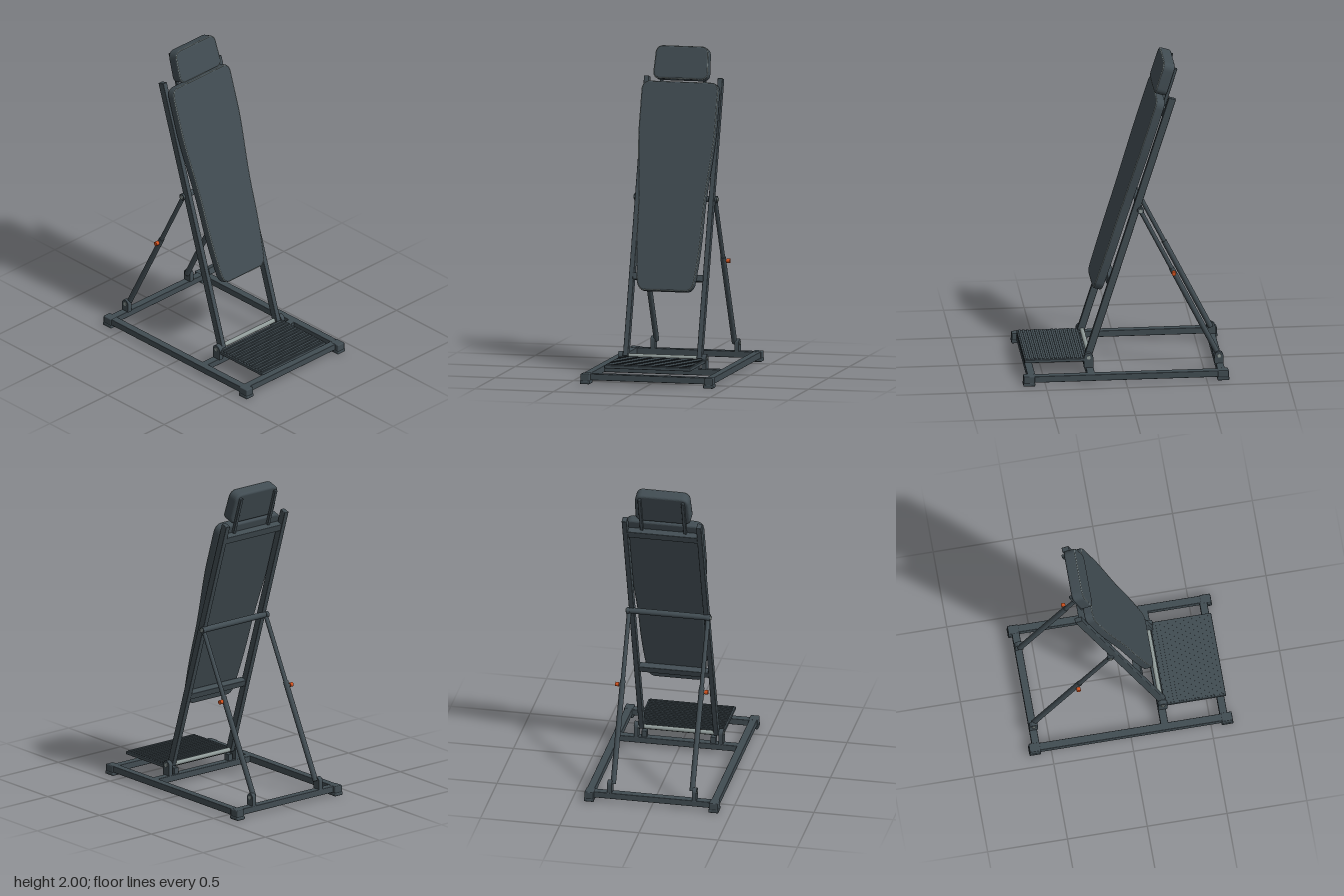
import * as THREE from 'three';
import { toCreasedNormals } from 'three/addons/utils/BufferGeometryUtils.js';
import { RoundedBoxGeometry } from 'three/addons/geometries/RoundedBoxGeometry.js';

function material(name, color) {
  const m = new THREE.MeshStandardMaterial({ color });
  m.name = name;
  return m;
}
const slate = material('slate grey', 0x414c52);
const metal = material('light metal grey', 0x8f9a98);
const orange = material('orange', 0xd2521f);

function add(parent, name, geometry, x = 0, y = 0, z = 0, mat = slate) {
  const mesh = new THREE.Mesh(geometry, mat);
  mesh.name = name;
  mesh.position.set(x, y, z);
  parent.add(mesh);
  return mesh;
}

const box = (w, h, d, r = 0.004) => new RoundedBoxGeometry(w, h, d, 2, r);

// Round bar lying along x
const rod = (radius, length) => new THREE.CylinderGeometry(radius, radius, length, 20).rotateZ(Math.PI / 2);

// Round tube between two points
function tube(parent, name, a, b, radius) {
  const mesh = add(parent, name, new THREE.CylinderGeometry(radius, radius, a.distanceTo(b), 20));
  mesh.position.copy(a).lerp(b, 0.5);
  mesh.quaternion.setFromUnitVectors(new THREE.Vector3(0, 1, 0), b.clone().sub(a).normalize());
}

// Upright plate with a rounded top, thin along x
function bracketGeometry(width, height, thickness) {
  const r = width / 2;
  const s = new THREE.Shape();
  s.moveTo(-r, 0);
  s.lineTo(r, 0);
  s.lineTo(r, height - r);
  s.absarc(0, height - r, r, 0, Math.PI, false);
  s.closePath();
  const g = new THREE.ExtrudeGeometry(s, { depth: thickness, bevelEnabled: false, curveSegments: 12 });
  g.translate(0, 0, -thickness / 2).rotateY(Math.PI / 2);
  return toCreasedNormals(g, 0.6);
}

// Tapered back pad outline: narrow at the hips, wide at the shoulders
function padShape() {
  const s = new THREE.Shape();
  s.moveTo(-0.13, 0.412);
  s.lineTo(0.13, 0.412);
  s.quadraticCurveTo(0.16, 0.412, 0.17, 0.45);
  s.bezierCurveTo(0.182, 0.55, 0.195, 0.68, 0.197, 0.86);
  s.bezierCurveTo(0.2, 1.08, 0.23, 1.25, 0.233, 1.42);
  s.lineTo(0.233, 1.65);
  s.quadraticCurveTo(0.233, 1.7, 0.195, 1.7);
  s.lineTo(-0.195, 1.7);
  s.quadraticCurveTo(-0.233, 1.7, -0.233, 1.65);
  s.lineTo(-0.233, 1.42);
  s.bezierCurveTo(-0.23, 1.25, -0.2, 1.08, -0.197, 0.86);
  s.bezierCurveTo(-0.195, 0.68, -0.182, 0.55, -0.17, 0.45);
  s.quadraticCurveTo(-0.16, 0.412, -0.13, 0.412);
  return s;
}

// Headrest outline: slightly narrower at the top
function headrestShape() {
  const s = new THREE.Shape();
  s.moveTo(-0.13, 1.738);
  s.lineTo(0.13, 1.738);
  s.quadraticCurveTo(0.162, 1.738, 0.161, 1.77);
  s.lineTo(0.156, 1.885);
  s.quadraticCurveTo(0.154, 1.92, 0.12, 1.92);
  s.lineTo(-0.12, 1.92);
  s.quadraticCurveTo(-0.154, 1.92, -0.156, 1.885);
  s.lineTo(-0.161, 1.77);
  s.quadraticCurveTo(-0.162, 1.738, -0.13, 1.738);
  return s;
}

// Cushion with a rounded edge and thin piping around its front
function addCushion(parent, name, shape, rear, front, bevel) {
  const g = new THREE.ExtrudeGeometry(shape, {
    depth: front - rear - 2 * bevel, bevelSize: bevel, bevelThickness: bevel, bevelSegments: 4, curveSegments: 14,
  });
  add(parent, name, toCreasedNormals(g.translate(0, 0, rear + bevel), 0.15));
  const outline = shape.getSpacedPoints(140).slice(0, -1);
  const n = outline.length;
  const path = outline.map((p, i) => {
    const along = outline[(i + 1) % n].clone().sub(outline[(i + n - 1) % n]).normalize();
    const out = bevel * 0.71;
    return new THREE.Vector3(p.x + along.y * out, p.y - along.x * out, front - bevel * 0.29);
  });
  const seam = new THREE.TubeGeometry(new THREE.CatmullRomCurve3(path, true), 280, 0.0022, 6, true);
  add(parent, name + 'Piping', seam, 0, 0, 0, metal);
}

export function createModel() {
  const model = new THREE.Group();
  model.name = 'incline bench';

  // Base frame
  const base = new THREE.Group();
  base.name = 'base';
  model.add(base);
  for (const z of [-0.592, 0.215, 0.585]) add(base, 'baseCrossRail', box(0.75, 0.04, 0.048), 0, 0.042, z);
  for (const side of [-1, 1]) {
    add(base, 'baseSideRail', box(0.048, 0.041, 1.24), side * 0.393, 0.042, 0);
    for (const end of [-1, 1]) {
      add(base, 'foot', box(0.063, 0.022, 0.074, 0.006), side * 0.393, 0.011, end * 0.602);
      add(base, 'endCap', box(0.057, 0.05, 0.068, 0.006), side * 0.393, 0.039, end * 0.602);
    }
  }

  // Ribbed foot platform
  const platform = new THREE.Group();
  platform.name = 'footPlatform';
  model.add(platform);
  add(platform, 'platformPlate', box(0.55, 0.02, 0.385), 0, 0.11, 0.425);
  for (let i = 0; i < 15; i++) {
    add(platform, 'platformRib', new THREE.BoxGeometry(0.53, 0.005, 0.014), 0, 0.1225, 0.248 + i * 0.0252);
  }
  for (const x of [-0.217, 0.217]) add(platform, 'platformPost', box(0.034, 0.045, 0.04), x, 0.081, 0.218);

  // Pivot brackets, axle and bolts on the base
  add(model, 'frontAxle', rod(0.014, 0.51), 0, 0.127, 0.215, metal);
  for (const side of [-1, 1]) {
    add(model, 'frontBracket', bracketGeometry(0.058, 0.094, 0.028), side * 0.267, 0.06, 0.221);
    add(model, 'frontBolt', rod(0.012, 0.008), side * 0.281, 0.127, 0.221, metal);
    add(model, 'rearBracket', bracketGeometry(0.054, 0.078, 0.028), side * 0.267, 0.06, -0.588);
    add(model, 'rearBolt', rod(0.012, 0.008), side * 0.281, 0.112, -0.588, metal);
  }

  // Leaning backrest: local y runs up the rails, local z points out of the pad
  const back = new THREE.Group();
  back.name = 'backrest';
  back.position.set(0, 0.127, 0.222);
  back.rotation.x = -0.304;
  model.add(back);
  for (const side of [-1, 1]) {
    add(back, 'backRail', box(0.032, 1.758, 0.046), side * 0.235, 0.873, 0);
    add(back, 'headrestPost', box(0.02, 0.3, 0.02), side * 0.137, 1.763, 0.018);
    add(back, 'strutLug', rod(0.021, 0.02), side * 0.254, 1.0, -0.027);
    add(back, 'strutBolt', rod(0.012, 0.01), side * 0.265, 1.0, -0.027, metal);
  }
  add(back, 'upperCrossbar', box(0.45, 0.046, 0.046), 0, 1.64, 0.004);
  add(back, 'lowerCrossbar', box(0.45, 0.042, 0.046), 0, 0.496, 0.006);
  add(back, 'strutCrossbar', rod(0.019, 0.51), 0, 1.0, -0.024);
  addCushion(back, 'backPad', padShape(), 0.03, 0.088, 0.012);
  addCushion(back, 'headrest', headrestShape(), 0.027, 0.103, 0.014);

  // Telescopic rear struts with adjusting knobs
  for (const side of [-1, 1]) {
    const x = side * 0.249;
    const low = new THREE.Vector3(x, 0.112, -0.585);
    const high = new THREE.Vector3(x, 1.07, -0.103);
    const middle = low.clone().lerp(high, 0.6);
    tube(model, 'strutOuterTube', low, middle, 0.017);
    tube(model, 'strutInnerTube', middle, high, 0.0135);
    const pin = low.clone().lerp(high, 0.575);
    add(model, 'knobStem', rod(0.007, 0.03), side * 0.265, pin.y, pin.z, metal);
    add(model, 'knob', rod(0.0135, 0.022), side * 0.281, pin.y, pin.z, orange);
  }
  return model;
}
